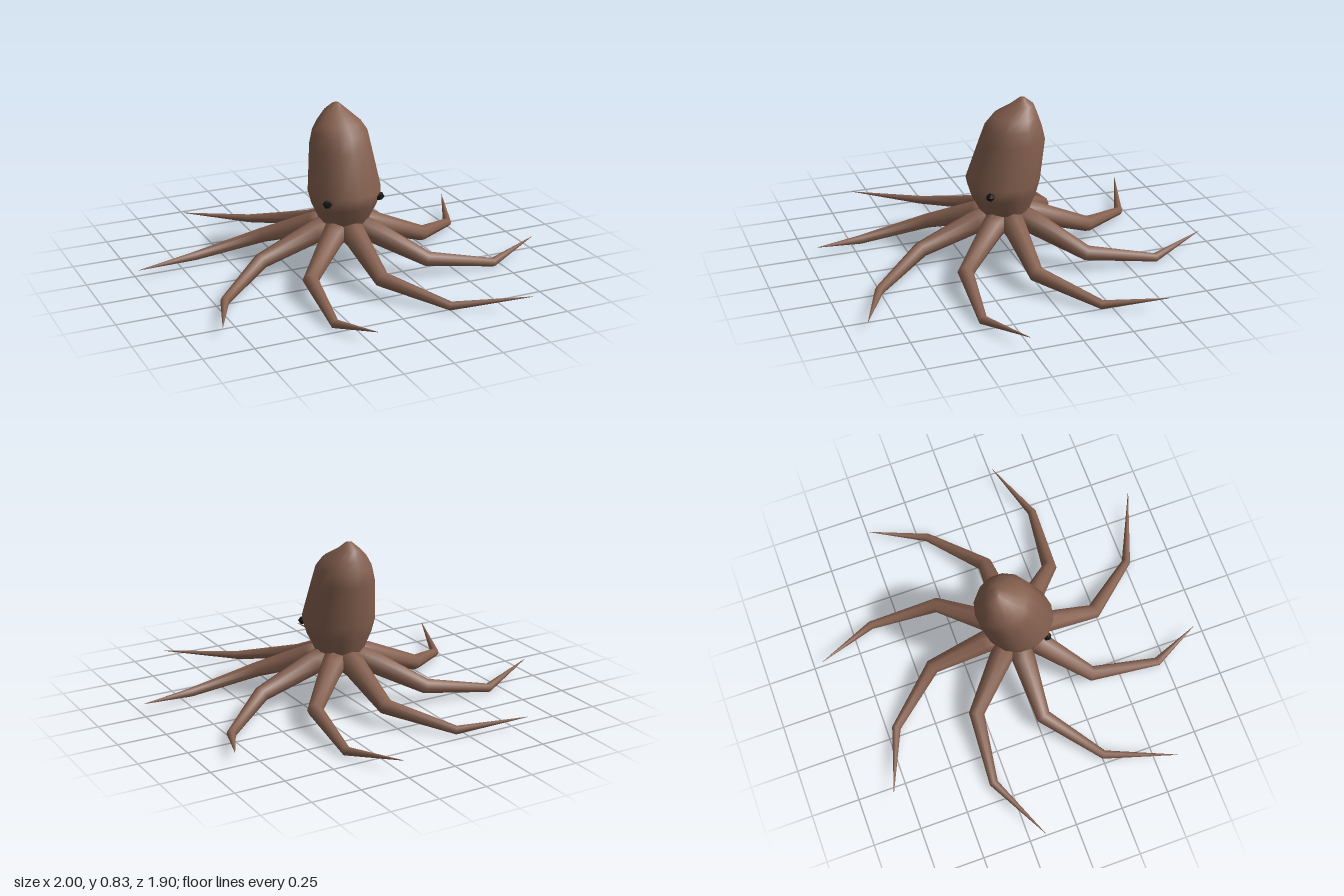
import * as THREE from 'three';

const V = (x, y, z) => new THREE.Vector3(x, y, z);

// Smooth closed skin through rings of points
function loft(rings) {
  const n = rings[0].length;
  const index = [];
  for (let i = 0; i < rings.length - 1; i++) {
    for (let j = 0; j < n; j++) {
      const k = (j + 1) % n;
      const a = i * n + j, b = i * n + k, c = a + n, d = b + n;
      index.push(a, b, d, a, d, c);
    }
  }
  // end caps
  const last = (rings.length - 1) * n;
  for (let j = 1; j < n - 1; j++) {
    index.push(0, j + 1, j, last, last + j, last + j + 1);
  }
  const geo = new THREE.BufferGeometry().setFromPoints(rings.flat());
  geo.setIndex(index);
  geo.computeVertexNormals();
  return geo;
}

function ring(centre, u, v, ru, rv, sides) {
  return Array.from({ length: sides }, (_, j) => {
    const a = (j / sides) * Math.PI * 2;
    return centre.clone()
      .addScaledVector(u, Math.cos(a) * ru)
      .addScaledVector(v, Math.sin(a) * rv);
  });
}

// Tapered limb along a bent path
function limb(points, radii, sides) {
  const up = V(0, 1, 0);
  const rings = points.map((p, i) => {
    const prev = points[Math.max(i - 1, 0)];
    const next = points[Math.min(i + 1, points.length - 1)];
    const before = p.clone().sub(prev).normalize();
    const after = next.clone().sub(p).normalize();
    const t = before.add(after).normalize();
    const u = t.clone().cross(up).normalize();
    const v = t.clone().cross(u);
    return ring(p, u, v, radii[i], radii[i], sides);
  });
  return loft(rings);
}

export function createModel() {
  const skin = new THREE.MeshStandardMaterial({ color: 0x85604f });
  skin.name = 'brown skin';
  const black = new THREE.MeshStandardMaterial({ color: 0x161616 });
  black.name = 'eye black';

  const model = new THREE.Group();
  model.name = 'octopus';
  const add = (name, geo, mat) => {
    const mesh = new THREE.Mesh(geo, mat);
    mesh.name = name;
    model.add(mesh);
    return mesh;
  };

  const cx = 0.02, cz = 0.03;

  // Mantle and head: height, half width, back z, front z
  const sections = [
    [0.15, 0.03, 0.00, 0.06],
    [0.19, 0.10, -0.07, 0.13],
    [0.28, 0.135, -0.10, 0.175],
    [0.35, 0.168, -0.125, 0.21],
    [0.42, 0.187, -0.143, 0.232],
    [0.63, 0.157, -0.172, 0.157],
    [0.70, 0.143, -0.155, 0.13],
    [0.75, 0.112, -0.138, 0.09],
    [0.80, 0.058, -0.118, 0.0],
    [0.835, 0.018, -0.075, -0.045],
  ];
  add('mantle', loft(sections.map(([y, rx, back, front]) =>
    ring(V(cx, y, (back + front) / 2), V(0, 0, 1), V(1, 0, 0), (front - back) / 2, rx, 14))), skin);

  // Eight arms, all curling the same way
  const tips = [
    [0.87, -0.49], [1.0, 0.26], [0.61, 0.91], [-0.23, 0.95],
    [-0.85, 0.61], [-1.0, -0.17], [-0.54, -0.82], [0.25, -0.95],
  ];
  tips.forEach(([tx, tz], i) => {
    const polar = (r, y, offset) => {
      const a = i * Math.PI / 4 + offset;
      return V(cx + r * Math.cos(a), y, cz + r * Math.sin(a));
    };
    const path = [
      polar(0.05, 0.225, 0),
      polar(0.16, 0.2, 0),
      polar(0.45, 0.092, 0),
      polar(0.765, 0.023, -0.305),
      V(tx, 0.066, tz),
    ];
    add('arm' + (i + 1), limb(path, [0.07, 0.06, 0.04, 0.023, 0.001], 8), skin);
  });

  // Eyes
  for (const side of [1, -1]) {
    const eye = add(side > 0 ? 'leftEye' : 'rightEye', new THREE.IcosahedronGeometry(0.024, 0), black);
    eye.position.set(cx + side * 0.143, 0.39, 0.158);
  }

  return model;
}
